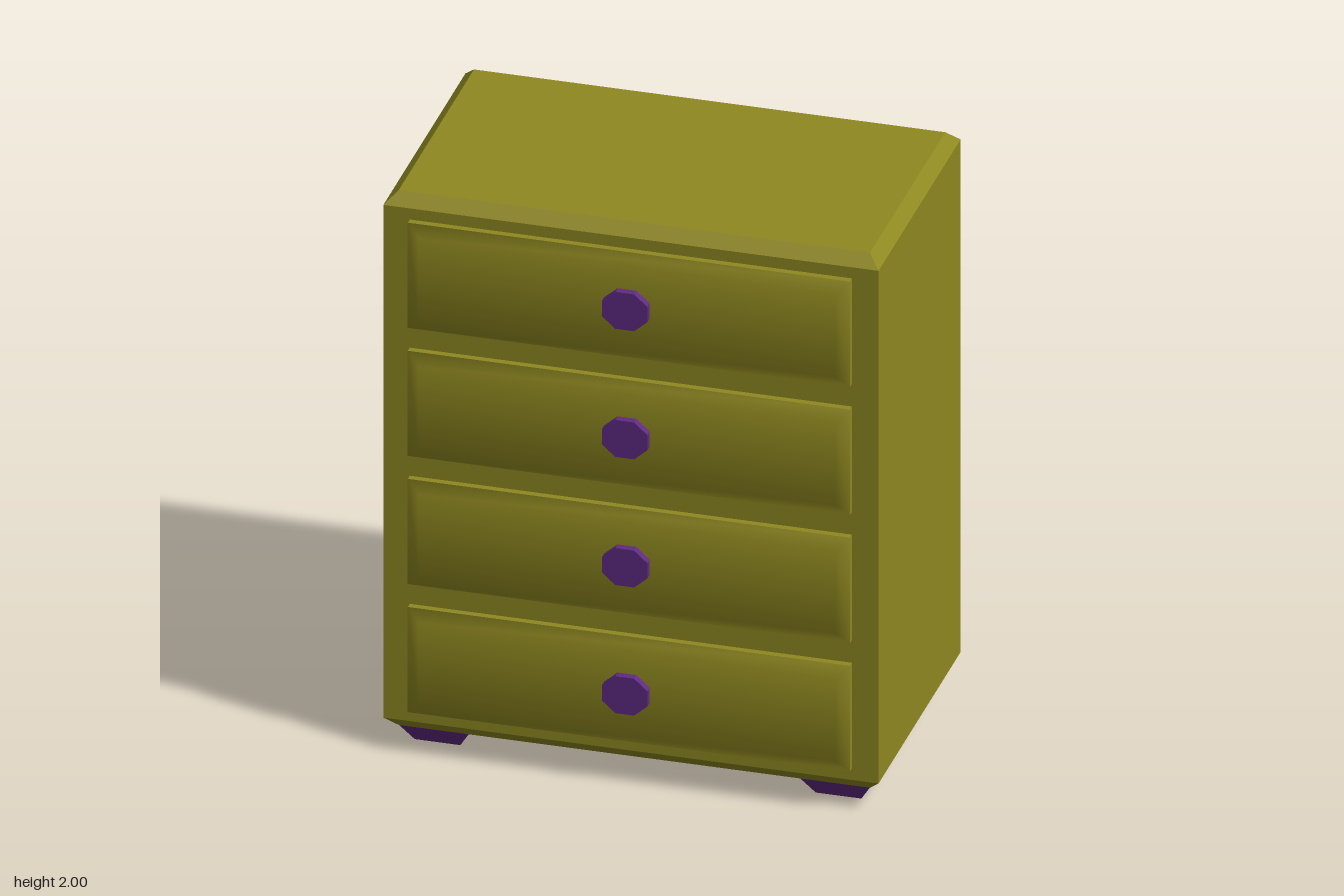
import * as THREE from 'three';
import { toCreasedNormals } from 'three/addons/utils/BufferGeometryUtils.js';

const wood = new THREE.MeshStandardMaterial({ color: 0x8f8820 });
const purple = new THREE.MeshStandardMaterial({ color: 0x5f2a82 });

// Capped solid through rectangular rings [halfX, y, halfZ], listed bottom to top.
function rectLoft(rings, crease) {
  const pos = [], idx = [];
  for (const [hx, y, hz] of rings) {
    pos.push(-hx, y, hz, hx, y, hz, hx, y, -hz, -hx, y, -hz);
  }
  for (let r = 0; r < rings.length - 1; r++) {
    for (let i = 0; i < 4; i++) {
      const a = r * 4 + i, b = r * 4 + (i + 1) % 4;
      idx.push(a, b, b + 4, a, b + 4, a + 4);
    }
  }
  const t = (rings.length - 1) * 4;
  idx.push(0, 2, 1, 0, 3, 2, t, t + 1, t + 2, t, t + 2, t + 3);
  const geo = new THREE.BufferGeometry();
  geo.setAttribute('position', new THREE.Float32BufferAttribute(pos, 3));
  geo.setIndex(idx);
  geo.computeVertexNormals();
  return toCreasedNormals(geo, crease);
}

export function createModel() {
  const group = new THREE.Group();
  const add = (name, geo, mat, x, y, z) => {
    const mesh = new THREE.Mesh(geo, mat);
    mesh.name = name;
    mesh.position.set(x, y, z);
    group.add(mesh);
  };

  // Cabinet body with chamfered top and bottom
  const body = rectLoft([
    [0.786, 0.066, 0.435], [0.826, 0.107, 0.475],
    [0.826, 1.96, 0.475], [0.786, 2, 0.435],
  ], 0.2);
  add('cabinet', body, wood, 0, 0, -0.036);

  // Drawer fronts with a softly shaded bevel, and octagonal knobs
  const drawer = rectLoft([
    [0.738, 0, 0.19], [0.738, 0.023, 0.19], [0.696, 0.046, 0.149],
  ], 0.7).rotateX(Math.PI / 2);
  const knob = toCreasedNormals(
    new THREE.CylinderGeometry(0.082, 0.082, 0.04, 8)
      .rotateY(Math.PI / 8).rotateX(Math.PI / 2).scale(1, 0.88, 1), 0.2);
  for (let i = 0; i < 4; i++) {
    const y = 0.341 + i * 0.463;
    add('drawer' + (i + 1), drawer, wood, 0, y, 0.439);
    add('knob' + (i + 1), knob, purple, 0, y, 0.492);
  }

  // Tapered runner feet along both sides
  const foot = rectLoft([[0.076, 0, 0.393], [0.117, 0.067, 0.435]], 0.2);
  add('leftFoot', foot, purple, 0.669, 0, -0.036);
  add('rightFoot', foot, purple, -0.669, 0, -0.036);

  return group;
}
